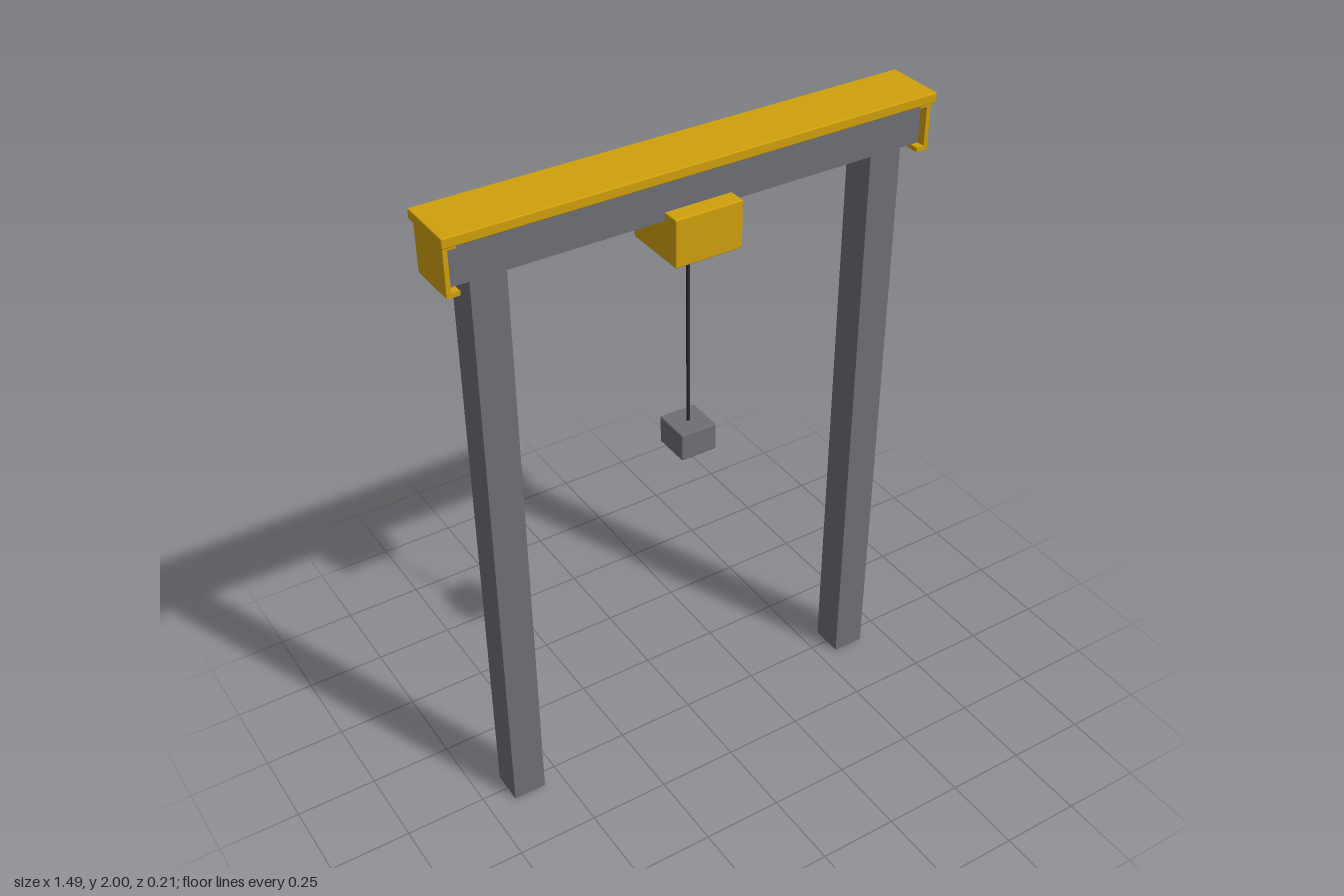
import * as THREE from 'three';
import { RoundedBoxGeometry } from 'three/addons/geometries/RoundedBoxGeometry.js';

const material = (name, color) => {
  const m = new THREE.MeshStandardMaterial({ color });
  m.name = name;
  return m;
};

export function createModel() {
  const yellow = material('safety yellow', 0xd0a00c);
  const grey = material('steel grey', 0x6e6f75);
  const dark = material('dark cable', 0x2a2a30);
  const model = new THREE.Group();
  model.name = 'gantryCrane';

  const add = (name, geometry, mat, x, y, z = 0, parent = model) => {
    const mesh = new THREE.Mesh(geometry, mat);
    mesh.name = name;
    mesh.position.set(x, y, z);
    parent.add(mesh);
    return mesh;
  };
  // Box given by its x range, y range and full depth
  const box = (name, mat, x0, x1, y0, y1, depth, bevel = 0, parent = model) => {
    const w = x1 - x0, h = y1 - y0;
    const geometry = bevel
      ? new RoundedBoxGeometry(w, h, depth, 2, bevel)
      : new THREE.BoxGeometry(w, h, depth);
    return add(name, geometry, mat, (x0 + x1) / 2, (y0 + y1) / 2, 0, parent);
  };

  // Top cover and main beam, with a thin gap between them
  box('topCover', yellow, -0.746, 0.746, 1.97, 2, 0.184, 0.004);
  box('mainBeam', grey, -0.726, 0.726, 1.84, 1.957, 0.104);

  for (const side of [1, -1]) {
    const label = side > 0 ? 'left' : 'right';
    const leg = box(label + 'Leg', grey, -0.0515, 0.0515, 0, 1.84, 0.104);
    leg.position.x = side * 0.613;

    // Channel-shaped end cap wrapping the beam end
    const cap = new THREE.Group();
    cap.name = label + 'EndCap';
    const span = (a, b) => (side > 0 ? [a, b] : [-b, -a]);
    box('capPlate', yellow, ...span(0.726, 0.739), 1.827, 1.97, 0.156, 0, cap);
    box('capTopFlange', yellow, ...span(0.702, 0.726), 1.957, 1.97, 0.156, 0, cap);
    box('capBottomFlange', yellow, ...span(0.702, 0.726), 1.827, 1.84, 0.156, 0, cap);
    model.add(cap);
  }

  // Trolley, cable and hook block
  box('trolley', yellow, -0.104, 0.104, 1.722, 1.864, 0.208, 0.004);
  add('cable', new THREE.CylinderGeometry(0.005, 0.005, 0.59, 12), dark, 0, 1.43);
  box('hookBlock', grey, -0.058, 0.058, 1.054, 1.142, 0.118, 0.005);
  add('hookBall', new THREE.SphereGeometry(0.021, 20, 14), yellow, 0, 1.031);

  return model;
}
